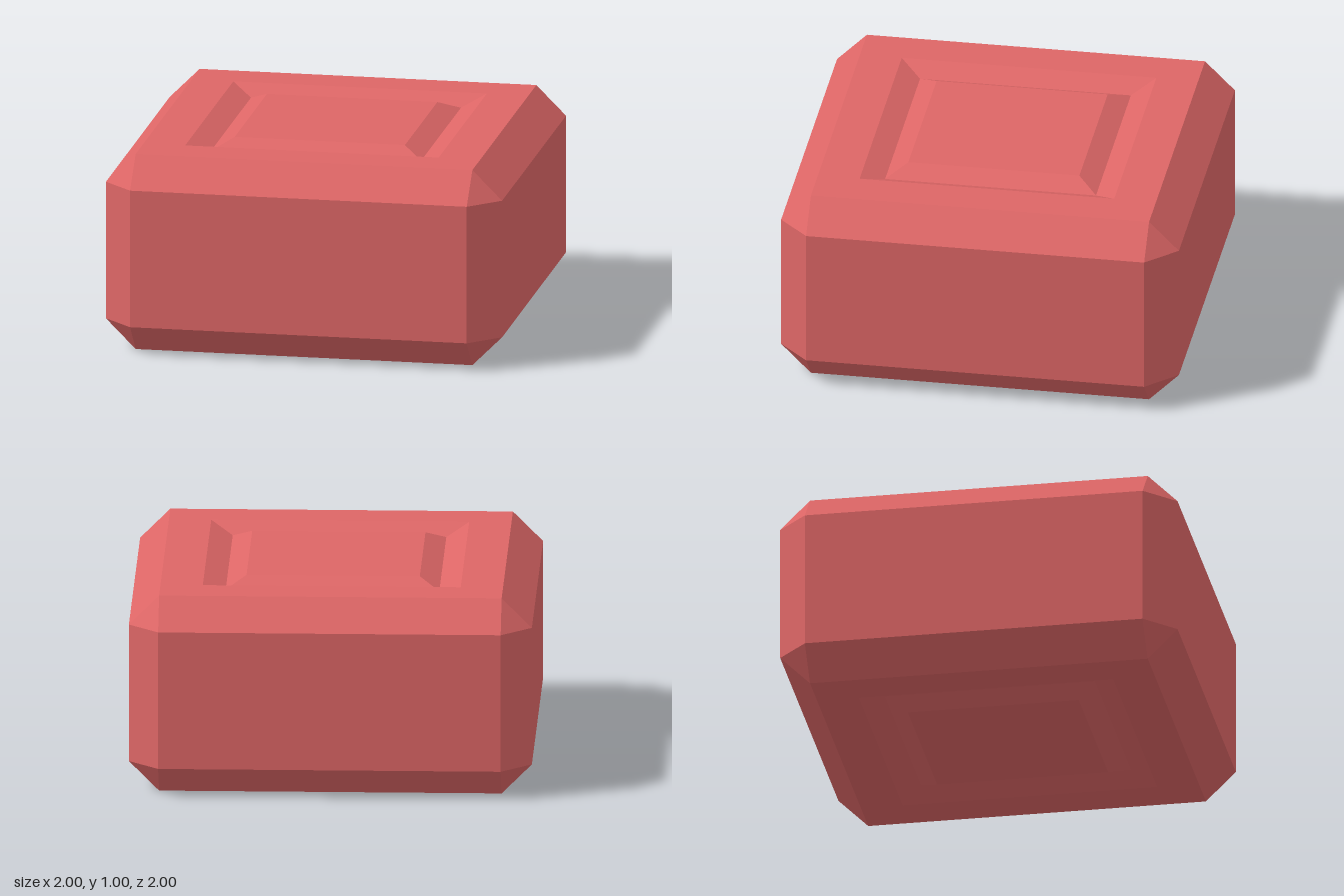
import * as THREE from 'three';

// Skins a stack of eight-cornered rings [half width, flat side half length, y], bottom to top.
// Equal width and flat length give a plain square ring.
function skinRings(rings) {
  const corners = ([h, i, y]) => {
    const pts = [];
    let pair = [[h, -i], [h, i]];
    for (let s = 0; s < 4; s++) {
      pair.forEach(([x, z]) => pts.push(new THREE.Vector3(x, y, z)));
      pair = pair.map(([x, z]) => [-z, x]);
    }
    return pts;
  };
  const positions = [];
  const addTriangle = (a, b, c) => {
    if (new THREE.Triangle(a, b, c).getArea() < 1e-6) return; // collapsed corner
    [a, b, c].forEach((p) => positions.push(p.x, p.y, p.z));
  };
  for (let r = 0; r < rings.length - 1; r++) {
    const low = corners(rings[r]);
    const high = corners(rings[r + 1]);
    for (let k = 0; k < 8; k++) {
      const n = (k + 1) % 8;
      addTriangle(low[k], high[k], high[n]);
      addTriangle(low[k], high[n], low[n]);
    }
  }
  const geometry = new THREE.BufferGeometry();
  geometry.setAttribute('position', new THREE.Float32BufferAttribute(positions, 3));
  geometry.computeVertexNormals();
  return geometry;
}

export function createModel() {
  const group = new THREE.Group();
  group.name = 'bevelledBlock';

  const groove = 0.05; // depth of the square V-groove
  // Underside from its centre out to the side wall
  const lowerHalf = [
    [0, 0, 0],
    [0.43, 0.43, 0],
    [0.53, 0.53, groove],
    [0.64, 0.64, 0],
    [0.85, 0.85, 0],
    [1, 0.85, 0.15],
  ];
  // The top mirrors the underside
  const upperHalf = lowerHalf.map(([h, i, y]) => [h, i, 1 - y]).reverse();

  const material = new THREE.MeshStandardMaterial({ color: 0xdd6666, flatShading: true });
  const block = new THREE.Mesh(skinRings([...lowerHalf, ...upperHalf]), material);
  block.name = 'groovedBlock';
  group.add(block);
  return group;
}
